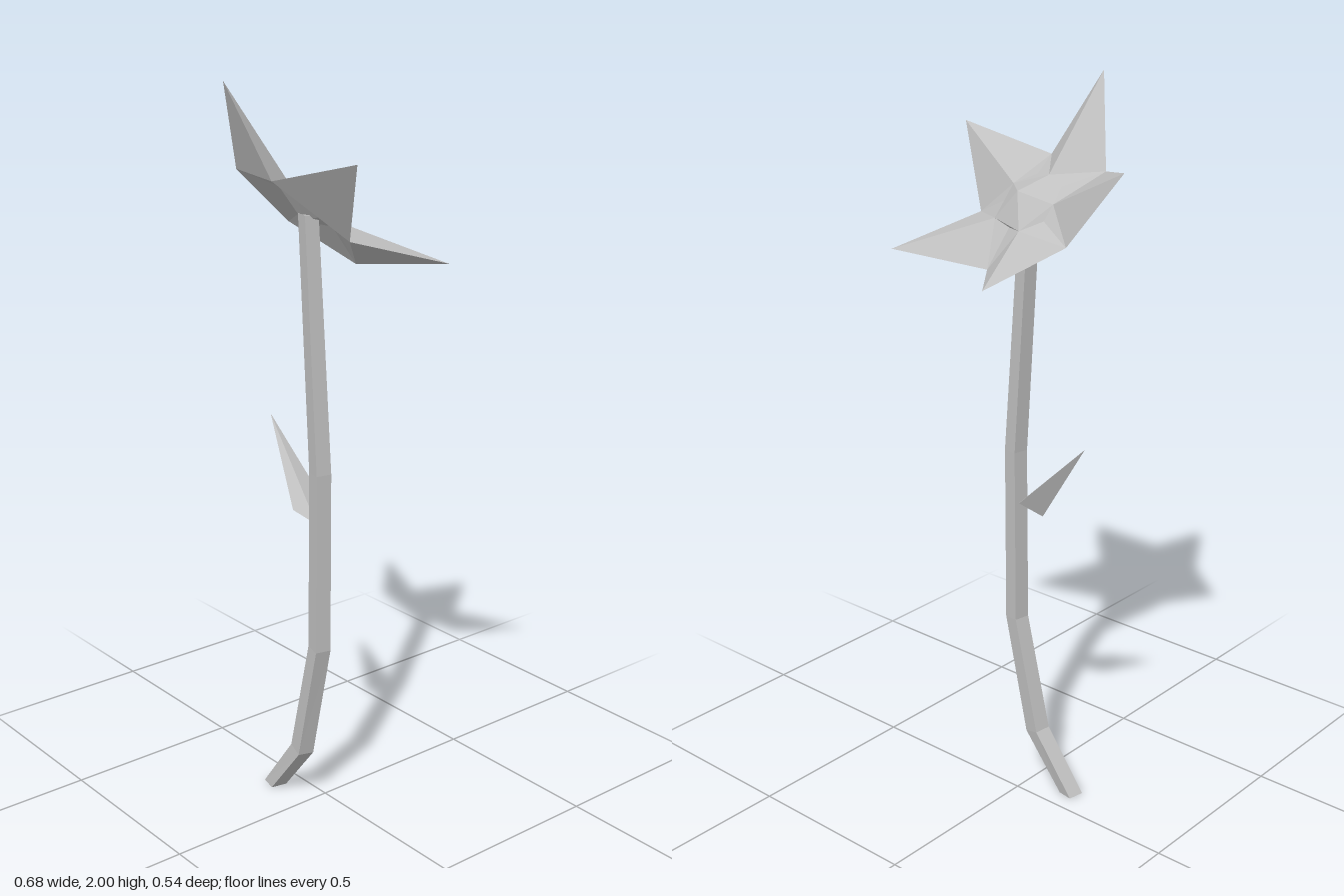
import * as THREE from 'three';
import { ConvexGeometry } from 'three/addons/geometries/ConvexGeometry.js';

const grey = new THREE.MeshStandardMaterial({ color: 0xc0c0c0, flatShading: true });
grey.name = 'paleGrey';

const v = (x, y, z) => new THREE.Vector3(x, y, z);

function facets(name, triangles) {
  const geometry = new THREE.BufferGeometry().setFromPoints(triangles.flat());
  geometry.computeVertexNormals();
  const mesh = new THREE.Mesh(geometry, grey);
  mesh.name = name;
  return mesh;
}

// Square stem bent through five cross-sections
function makeStem() {
  const sections = [ // centre x, y, radius, tilt
    [-0.138, 0.003, 0.032, -0.05],
    [-0.013, 0.165, 0.032, -0.3],
    [0.064, 0.5, 0.031, -0.1],
    [0.068, 1.0, 0.03, 0],
    [0.022, 1.67, 0.027, 0],
  ];
  const geometry = new THREE.CylinderGeometry(1, 1, 1, 4, 4);
  geometry.rotateY(Math.PI / 4 - 0.2);
  const p = geometry.attributes.position;
  for (let i = 0; i < p.count; i++) {
    const [cx, cy, r, tilt] = sections[Math.round((p.getY(i) + 0.5) * 4)];
    const dx = p.getX(i) * r;
    p.setXYZ(i, cx + dx, cy + dx * tilt, 0.072 + p.getZ(i) * r);
  }
  geometry.computeVertexNormals();
  const stem = new THREE.Mesh(geometry, grey);
  stem.name = 'stem';
  return stem;
}

// Pointed leaf with a three-cornered base tapering into the stem
function makeLeaf() {
  const leaf = new THREE.Mesh(new ConvexGeometry([
    v(-0.21, 1.085, 0.02), v(-0.05, 0.845, 0.045), v(-0.005, 0.885, 0),
    v(-0.005, 0.885, 0.105), v(0.05, 0.852, 0.07),
  ]), grey);
  leaf.name = 'leaf';
  return leaf;
}

// Five-pointed flower tilted backwards, with a low domed centre
function makeFlower() {
  const flower = new THREE.Group();
  flower.name = 'flower';

  // Height of the inner ring, which lies on the tilted flower plane
  const ring = (x, z, drop) =>
    v(x, 1.69 - drop + (-0.1 * (x - 0.013) + 0.66 * (z - 0.047)) / 0.74, z);

  const tips = [v(-0.056, 2, 0.268), v(0.337, 1.84, 0.18), v(0.298, 1.56, -0.15),
    v(-0.12, 1.55, -0.268), v(-0.338, 1.82, -0.01)];
  const valleys = [v(0.083, 1.775, 0.232), v(0.204, 1.63, 0.09), v(0.05, 1.53, -0.06),
    v(-0.167, 1.613, -0.013), v(-0.146, 1.77, 0.168)];
  const ridges = [[-0.007, 0.113], [0.093, 0.092], [0.083, 0.008],
    [-0.022, -0.022], [-0.08, 0.042]].map(([x, z]) => ring(x, z, 0));
  const notches = [[0.045, 0.132], [0.1, 0.067], [0.03, 0.002],
    [-0.07, 0.018], [-0.06, 0.1]].map(([x, z]) => ring(x, z, 0.017));
  const apex = v(0.018, 1.722, 0.02);
  const root = v(0.008, 1.65, 0.078);

  const centre = [], receptacle = [];
  for (let i = 0; i < 5; i++) {
    const prev = (i + 4) % 5, next = (i + 1) % 5;
    const T = tips[i], R = ridges[i];
    const V = valleys[i], N = notches[i], Vp = valleys[prev], Np = notches[prev];
    flower.add(facets('petal' + (i + 1), [
      [R, T, V], [R, V, N], [Vp, T, R], [Np, Vp, R], // folded upper side
      [T, Vp, V], [V, Vp, Np], [V, Np, N],           // underside
    ]));
    centre.push([R, N, ridges[next]], [apex, R, ridges[next]]);
    receptacle.push([N, Np, root]);
  }
  flower.add(facets('flowerCentre', centre), facets('receptacle', receptacle));
  return flower;
}

export function createModel() {
  const model = new THREE.Group();
  model.name = 'flowerOnStem';
  model.add(makeStem(), makeLeaf(), makeFlower());
  return model;
}
